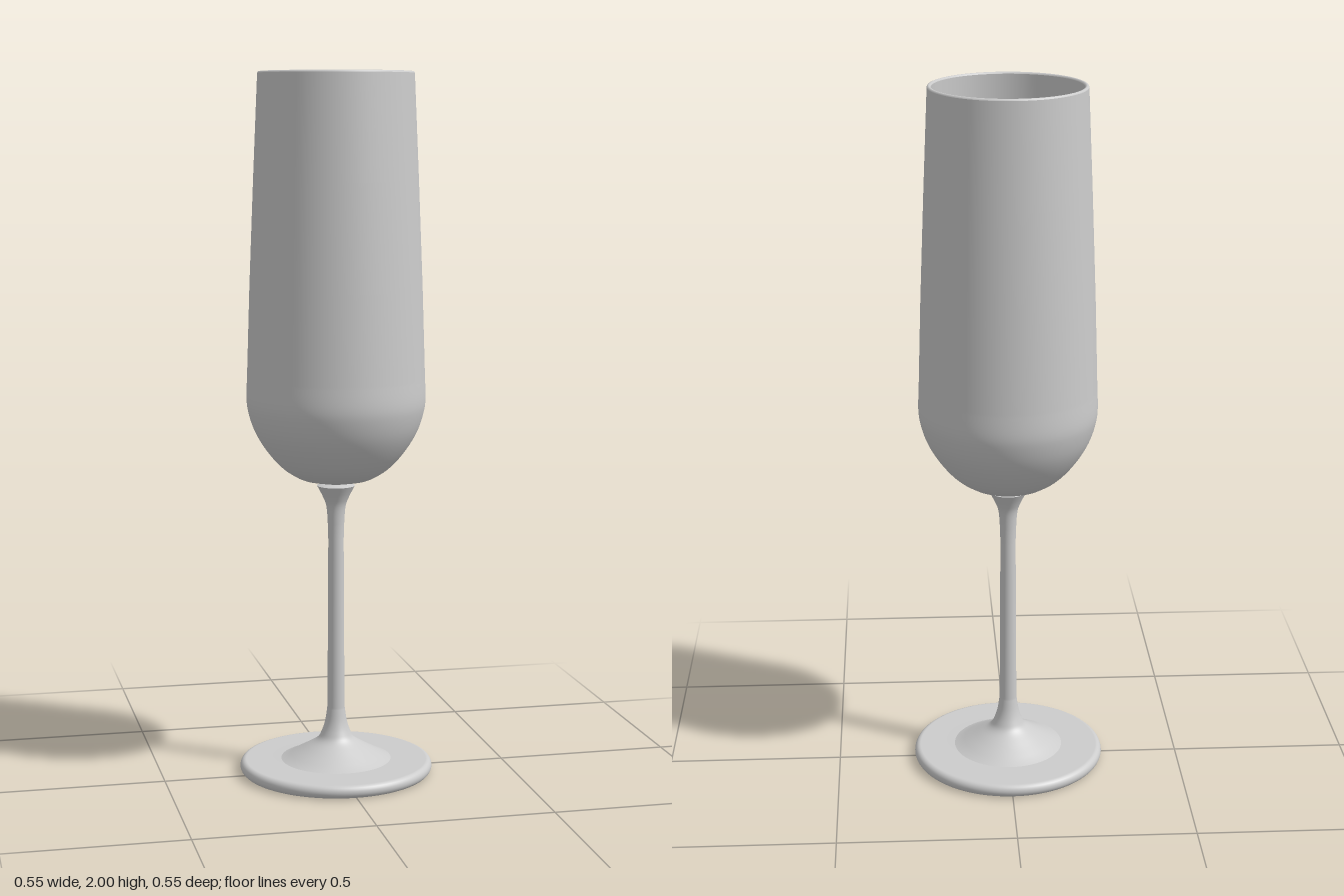
import * as THREE from 'three';

const SEGMENTS = 96;

export function createModel() {
  const model = new THREE.Group();
  model.name = 'fluteGlass';
  const glass = new THREE.MeshStandardMaterial({ color: 0xcccccc });
  glass.name = 'paleGreyGlass';

  const vectors = (pairs) => pairs.map(([r, y]) => new THREE.Vector2(r, y));
  // Smooth a few profile points into a fine curve
  const smooth = (pairs, n) => new THREE.SplineCurve(vectors(pairs)).getPoints(n);
  const turn = (name, profile) => {
    profile.forEach((p) => { p.x = Math.max(p.x, 0); });
    const mesh = new THREE.Mesh(new THREE.LatheGeometry(profile, SEGMENTS), glass);
    mesh.name = name;
    model.add(mesh);
  };

  // Foot: flat underside and rounded edge
  const edge = [];
  for (let i = 0; i <= 12; i++) {
    const a = -Math.PI / 2 + (Math.PI * i) / 12;
    edge.push(new THREE.Vector2(0.26 + 0.017 * Math.cos(a), 0.0185 + 0.0185 * Math.sin(a)));
  }
  turn('foot', [...vectors([[0, 0], [0.255, 0]]), ...edge, ...vectors([[0.2, 0.037], [0.14, 0.038]])]);

  // Stem: cone rising from the foot, slim shaft, flared collar
  turn('stem', [
    ...vectors([[0.16, 0.037], [0.145, 0.043]]),
    ...smooth([[0.13, 0.051], [0.09, 0.073], [0.055, 0.095], [0.041, 0.118], [0.031, 0.15], [0.025, 0.19]], 24),
    ...vectors([[0.024, 0.3], [0.023, 0.5], [0.022, 0.68]]),
    ...smooth([[0.023, 0.72], [0.027, 0.775], [0.037, 0.805], [0.054, 0.838]], 14),
  ]);
  turn('collarTop', vectors([[0.054, 0.838], [0.03, 0.847], [0, 0.848]]));

  // Bowl outside: shallow bottom, rounded belly, walls tapering to the rim
  turn('bowlOutside', [
    ...vectors([[0, 0.845], [0.05, 0.848], [0.095, 0.857]]),
    ...smooth([[0.11, 0.863], [0.145, 0.885], [0.178, 0.917], [0.21, 0.96], [0.233, 1.003],
      [0.248, 1.05], [0.253, 1.09], [0.251, 1.15]], 32),
    ...vectors([[0.243, 1.4], [0.231, 1.7], [0.218, 1.995]]),
  ]);
  // Rounded lip
  turn('rim', vectors([[0.218, 1.995], [0.2165, 1.9985], [0.2125, 2], [0.2085, 1.9985], [0.207, 1.995]]));
  // Bowl inside
  turn('bowlInside', [
    ...vectors([[0.207, 1.995], [0.22, 1.7], [0.232, 1.4]]),
    ...smooth([[0.24, 1.15], [0.241, 1.09], [0.236, 1.05], [0.222, 1.008], [0.2, 0.968],
      [0.169, 0.928], [0.138, 0.9], [0.1, 0.878], [0.05, 0.864], [0, 0.86]], 32),
  ]);
  return model;
}
